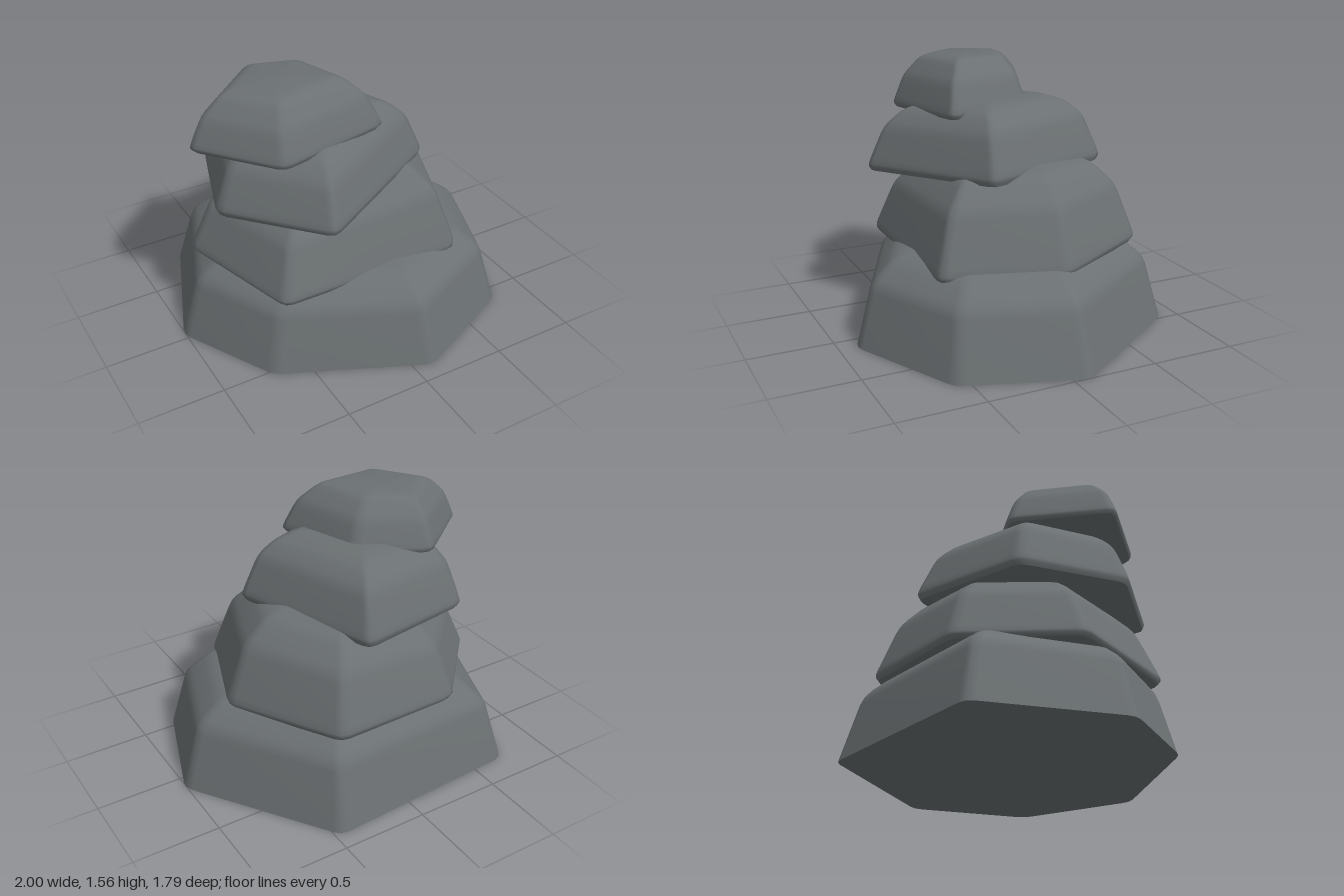
import * as THREE from 'three';

// Replace a corner b (between a and c) with three points of a small round
function roundCorner(a, b, c, d) {
  const p = b.clone().lerp(a, Math.min(0.3, d / b.distanceTo(a)));
  const q = b.clone().lerp(c, Math.min(0.3, d / b.distanceTo(c)));
  const m = p.clone().add(q).multiplyScalar(0.25).addScaledVector(b, 0.5);
  return [p, m, q];
}

// Stone: a rounded polygon lofted through [scale, height] levels.
// tilt = [bottom x, bottom z, top x, top z] slopes
function stoneGeometry({ centre, corners, levels, tilt, grow }) {
  const c = new THREE.Vector2(...centre);
  const pts = corners.map(([x, z]) => new THREE.Vector2(x, z).sub(c).multiplyScalar(grow));
  const n = pts.length;
  const outline = pts.flatMap((p, i) => roundCorner(pts[(i + n - 1) % n], p, pts[(i + 1) % n], 0.05));
  const prof = levels.map(([s, h]) => new THREE.Vector2(s, h));
  const profile = prof.flatMap((p, i) =>
    i === 0 || i === prof.length - 1 ? [p] : roundCorner(prof[i - 1], p, prof[i + 1], 0.05));

  const h0 = profile[0].y, h1 = profile[profile.length - 1].y;
  const pos = [], index = [], m = outline.length;
  const add = (p, s, h) => {
    const t = (h - h0) / (h1 - h0), x = p.x * s, z = p.y * s;
    const y = h + x * THREE.MathUtils.lerp(tilt[0], tilt[2], t) + z * THREE.MathUtils.lerp(tilt[1], tilt[3], t);
    pos.push(x + c.x, y, z + c.y);
  };

  // sides
  for (const r of profile) for (const p of outline) add(p, r.x, r.y);
  for (let k = 0; k < profile.length - 1; k++) {
    for (let i = 0; i < m; i++) {
      const a = k * m + i, b = k * m + (i + 1) % m;
      index.push(a, a + m, b + m, a, b + m, b);
    }
  }
  // top cap, joined smoothly
  const last = (profile.length - 1) * m, top = pos.length / 3;
  add(new THREE.Vector2(), 0, h1);
  for (let i = 0; i < m; i++) index.push(top, last + (i + 1) % m, last + i);
  // underside, with its own vertices for a sharp edge
  const low = pos.length / 3;
  for (const p of outline) add(p, profile[0].x, h0);
  add(new THREE.Vector2(), 0, h0);
  for (let i = 0; i < m; i++) index.push(low + m, low + i, low + (i + 1) % m);

  const g = new THREE.BufferGeometry();
  g.setAttribute('position', new THREE.Float32BufferAttribute(pos, 3));
  g.setIndex(index);
  g.computeVertexNormals();
  return g;
}

const stones = {
  baseStone: {
    centre: [0, 0], grow: 1.012, tilt: [0, 0, 0.01, -0.02],
    corners: [[-0.7, -0.82], [0.46, -0.89], [1, -0.09], [0.77, 0.58], [0.11, 0.89], [-0.7, 0.52], [-1, -0.04]],
    levels: [[1, 0], [0.89, 0.37], [0.74, 0.49], [0.58, 0.525]],
  },
  lowerStone: {
    centre: [-0.05, -0.1], grow: 1.015, tilt: [0.01, -0.03, 0.09, -0.01],
    corners: [[-0.38, -0.72], [0.37, -0.75], [0.72, -0.12], [0.48, 0.54], [-0.62, 0.52], [-0.85, -0.21]],
    levels: [[0.97, 0.455], [1, 0.485], [0.84, 0.79], [0.66, 0.92], [0.45, 0.975]],
  },
  upperStone: {
    centre: [-0.2, 0], grow: 1.02, tilt: [0.055, -0.01, 0.075, -0.04],
    corners: [[-0.62, -0.46], [0.13, -0.64], [0.45, 0.2], [-0.37, 0.64], [-0.81, 0.12]],
    levels: [[0.97, 0.9], [1, 0.935], [0.85, 1.17], [0.7, 1.255], [0.5, 1.3]],
  },
  topStone: {
    centre: [-0.38, 0], grow: 1.025, tilt: [0.035, -0.03, 0.06, 0],
    corners: [[-0.44, -0.4], [-0.04, -0.22], [0.12, 0.3], [-0.54, 0.41], [-0.89, -0.02]],
    levels: [[0.96, 1.235], [1, 1.26], [0.85, 1.42], [0.63, 1.52], [0.46, 1.543]],
  },
};

export function createModel() {
  const group = new THREE.Group();
  group.name = 'stackedRocks';
  const stone = new THREE.MeshStandardMaterial({ color: 0x6b7072 });
  stone.name = 'slate grey';
  for (const [name, spec] of Object.entries(stones)) {
    const mesh = new THREE.Mesh(stoneGeometry(spec), stone);
    mesh.name = name;
    group.add(mesh);
  }
  return group;
}
